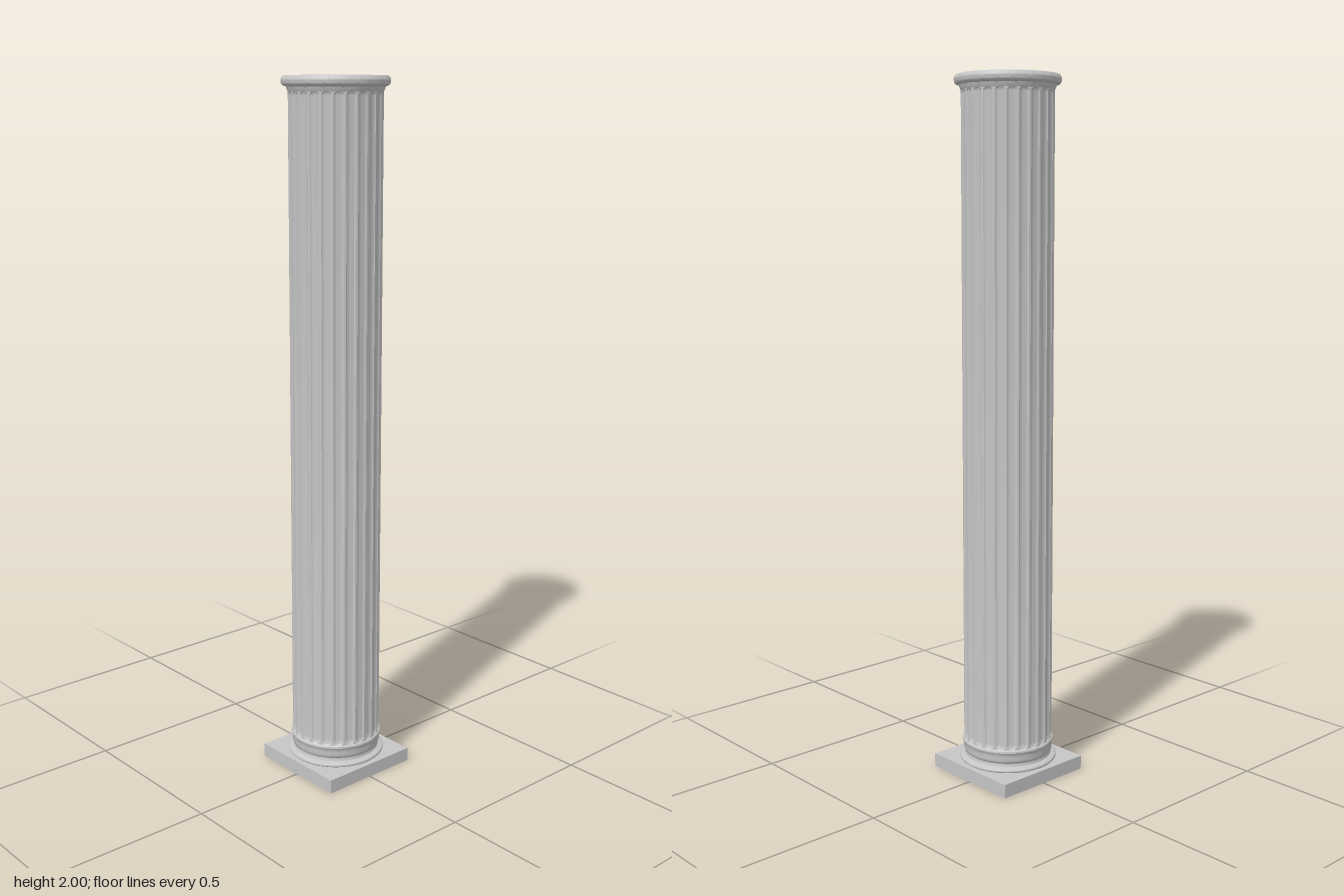
import * as THREE from 'three';
import { toCreasedNormals } from 'three/addons/utils/BufferGeometryUtils.js';

const FLUTES = 24;
const STEPS = 12; // segments across one flute and its fillet
const RADIUS = 0.129;
const DEPTH = 0.0055;
const BOTTOM = 0.1;
const TOP = 1.965;

// Hollow shaft with round-ended flutes pressed into an open cylinder
function makeShaft() {
  const half = (Math.PI * RADIUS) / FLUTES;
  const a = (half * 5) / 6; // half width of a flute
  const margin = 0.006; // plain band above and below the flutes
  const ends = [0, margin];
  for (let i = 1; i <= 6; i++) ends.push(margin + a * (1 - Math.cos((i / 6) * Math.PI / 2)));
  const rows = [...ends.map((d) => TOP - d), ...ends.map((d) => BOTTOM + d).reverse()];
  const columns = FLUTES * STEPS;
  const geo = new THREE.CylinderGeometry(RADIUS, RADIUS, 1, columns, rows.length - 1, true);
  const pos = geo.attributes.position;
  for (let i = 0; i < pos.count; i++) {
    const col = i % (columns + 1);
    const y = rows[Math.floor(i / (columns + 1))];
    const u = (((col % STEPS) / STEPS) * 2 - 1) * half;
    const d = Math.min(TOP - y, y - BOTTOM) - margin;
    const v = Math.max(0, 1 - d / a);
    const s = (u / a) ** 2 + v ** 2;
    const r = RADIUS - DEPTH * Math.sqrt(Math.max(0, 1 - s));
    const t = (col / columns) * Math.PI * 2;
    pos.setXYZ(i, r * Math.sin(t), y, r * Math.cos(t));
  }
  return toCreasedNormals(geo, 0.5);
}

// Turned moulding from a list of [radius, height] points
function makeMoulding(points) {
  const profile = points.map(([r, y]) => new THREE.Vector2(r, y));
  return toCreasedNormals(new THREE.LatheGeometry(profile, 96), 0.7);
}

// Points of a rounded bead, bulging outward between two heights
function bead(inner, outer, y0, y1, n = 8) {
  return Array.from({ length: n + 1 }, (_, i) => {
    const t = (i / n - 0.5) * Math.PI;
    return [inner + (outer - inner) * Math.cos(t), (y0 + y1) / 2 + ((y1 - y0) / 2) * Math.sin(t)];
  });
}

export function createModel() {
  const group = new THREE.Group();
  const stone = new THREE.MeshStandardMaterial({ color: 0xc6c6c6, side: THREE.DoubleSide });
  stone.name = 'grey stone';

  const add = (name, geometry) => {
    const mesh = new THREE.Mesh(geometry, stone);
    mesh.name = name;
    group.add(mesh);
    return mesh;
  };

  // Square plinth: four walls and a top, open underneath
  const W = 0.306, H = 0.04;
  add('plinthTop', new THREE.PlaneGeometry(W, W).rotateX(-Math.PI / 2).translate(0, H, 0));
  for (let i = 0; i < 4; i++) {
    const wall = new THREE.PlaneGeometry(W, H).translate(0, H / 2, W / 2);
    add('plinthWall', wall.rotateY((i * Math.PI) / 2));
  }

  // Base mouldings: lower bead, hollow and flared collar
  add('base', makeMoulding([
    ...bead(0.132, 0.142, 0.04, 0.053),
    [0.126, 0.055], [0.124, 0.06], [0.124, 0.064],
    [0.128, 0.067], [0.13, 0.075], [0.129, 0.085],
    [0.131, 0.093], [0.134, 0.098], [0.133, 0.103], [RADIUS, 0.106],
  ]));

  add('shaft', makeShaft());

  // Capital: neck and rounded rim, open at the top
  add('capital', makeMoulding([
    [RADIUS, 1.958], [0.132, 1.964], [0.134, 1.971],
    ...bead(0.138, 0.148, 1.972, 2), [0.132, 1.998],
  ]));

  return group;
}
